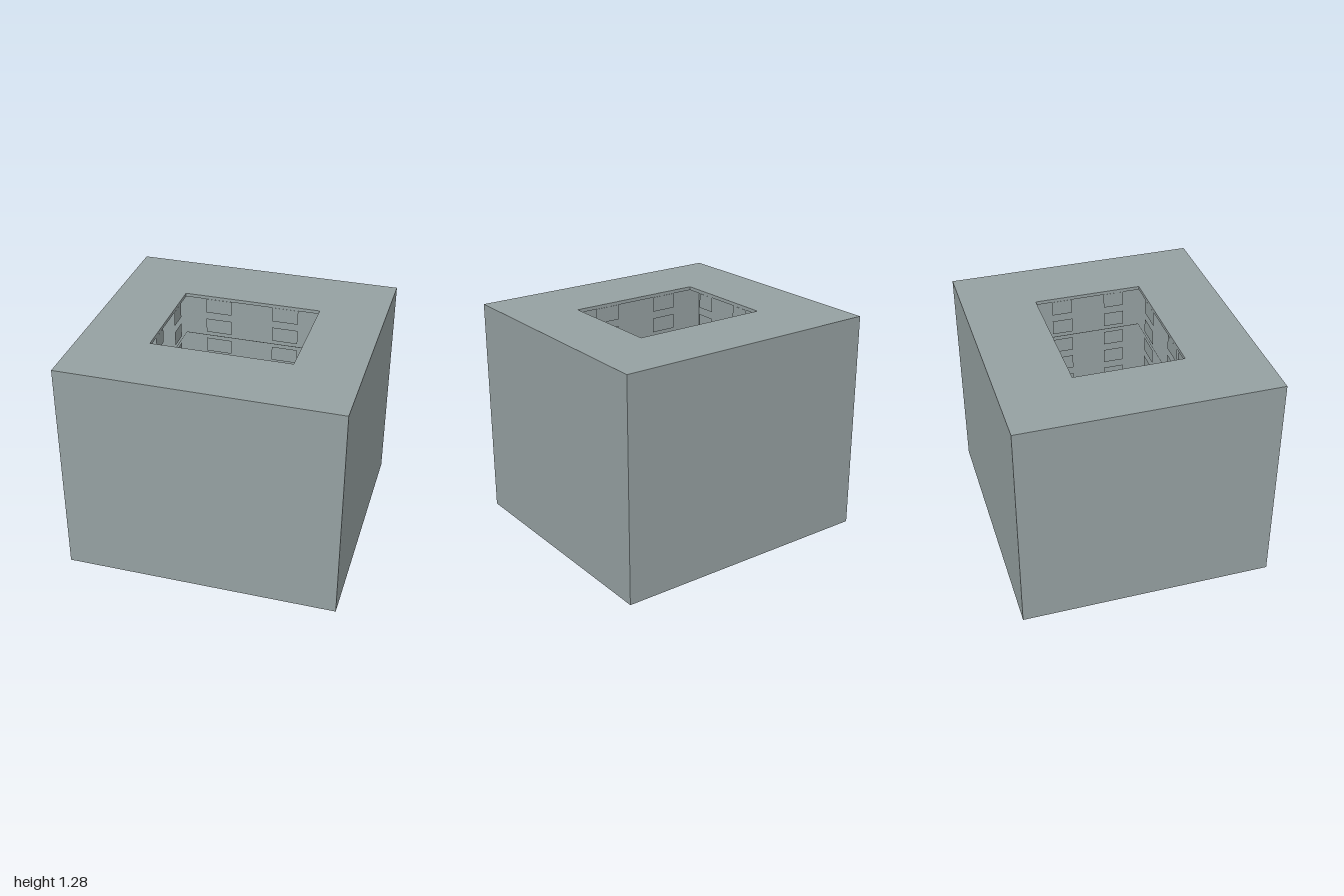
import * as THREE from 'three';

export function createModel() {
  const W = 1.45, D = 1.57, H = 1.28;           // outer block
  const w = 0.622, d = 0.8, cz = 0.01;          // courtyard opening
  const floors = 10, pitch = H / floors;
  const stone = new THREE.MeshStandardMaterial({ color: 0x95a0a1, side: THREE.DoubleSide });
  stone.name = 'stoneGrey';

  const model = new THREE.Group();
  model.name = 'courtyardBlock';
  const block = new THREE.Group();
  block.name = 'block';
  block.rotation.y = 0.382;
  model.add(block);

  // Upright panel centred at (x, y) on its parent's plane
  const panel = (name, parent, width, height, x, y) => {
    const m = new THREE.Mesh(new THREE.PlaneGeometry(width, height), stone);
    m.name = name;
    m.position.set(x, y, 0);
    parent.add(m);
  };

  // Four sides around a rectangle; sign = 1 faces outwards, -1 inwards
  const sides = (name, width, depth, sign, build) => {
    for (let i = 0; i < 4; i++) {
      const side = new THREE.Group();
      const a = i * Math.PI / 2;
      const [len, off] = i % 2 ? [depth, width / 2] : [width, depth / 2];
      side.name = name + (i + 1);
      side.position.set(Math.sin(a) * off, 0, Math.cos(a) * off);
      side.rotation.y = sign > 0 ? a : a + Math.PI;
      build(side, len);
      if (sign < 0) side.position.z += cz;
      block.add(side);
    }
  };

  // Outer walls
  sides('outerSide', W, D, 1, (side, len) => panel('outerWall', side, len, H, 0, H / 2));

  // Roof with the courtyard opening
  const rect = (C, rw, rd, oy) => new C([
    new THREE.Vector2(-rw / 2, oy - rd / 2), new THREE.Vector2(rw / 2, oy - rd / 2),
    new THREE.Vector2(rw / 2, oy + rd / 2), new THREE.Vector2(-rw / 2, oy + rd / 2),
  ]);
  const roofShape = rect(THREE.Shape, W, D, 0);
  roofShape.holes.push(rect(THREE.Path, w, d, -cz));
  const roof = new THREE.Mesh(new THREE.ShapeGeometry(roofShape), stone);
  roof.name = 'roof';
  roof.rotation.x = -Math.PI / 2;
  roof.position.y = H;
  block.add(roof);

  // Open courtyard sides: base band, top rim, thin ledges and window panels
  sides('courtyardSide', w, d, -1, (side, len) => {
    panel('baseBand', side, len, 0.04, 0, 0.02);
    panel('topRim', side, len, 0.02, 0, H - 0.01);
    for (const y of [0.128, 0.352, 1.024]) panel('ledge', side, len, 0.004, 0, y);
    for (let f = 0; f < floors; f++)
      for (const s of [-1, 1])
        panel('window', side, len * 0.19, pitch * 0.68, s * len / 4, (f + 0.5) * pitch);
  });

  return model;
}
